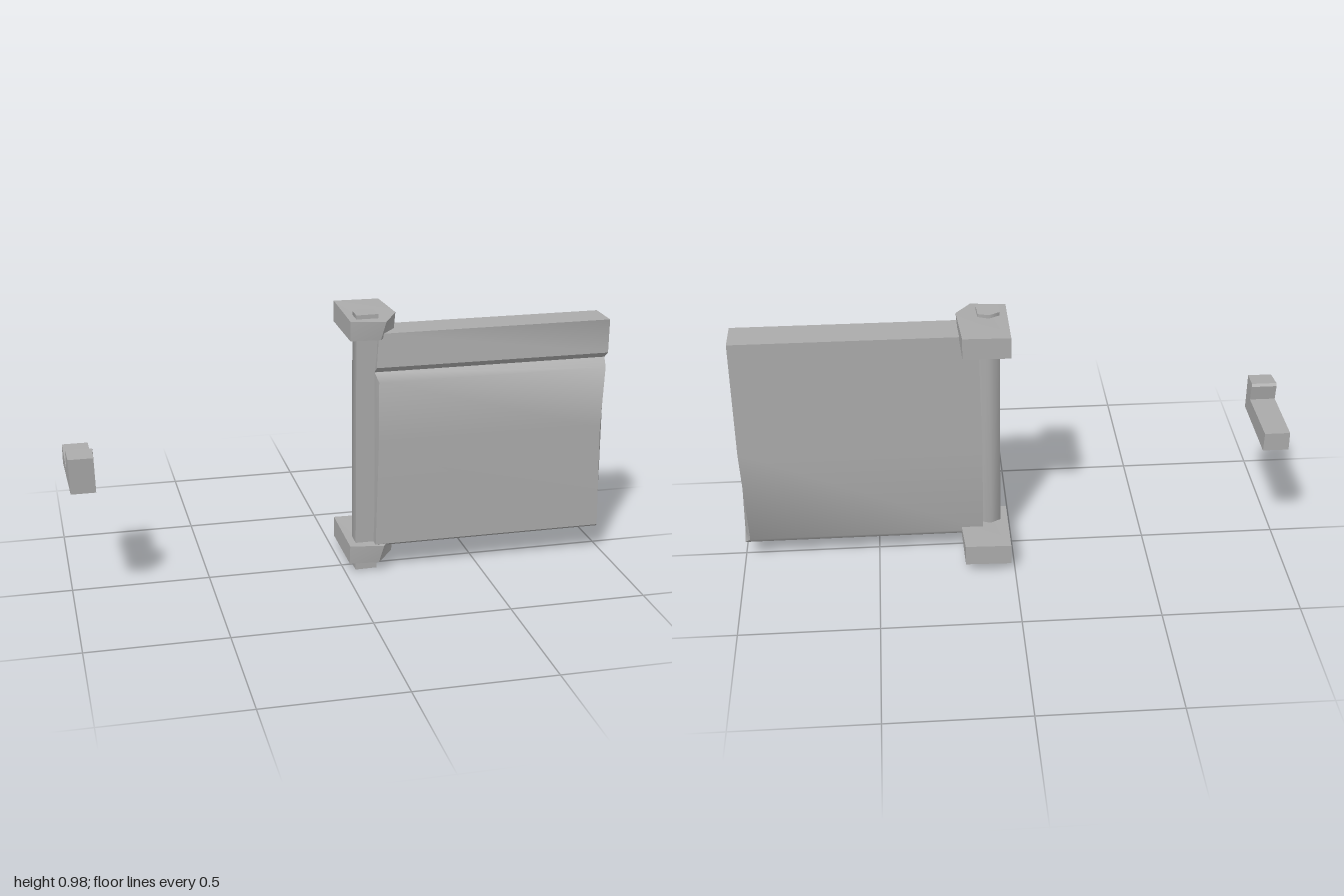
import * as THREE from 'three';
import { toCreasedNormals } from 'three/addons/utils/BufferGeometryUtils.js';

// Solid between two matching 3D loops; outline2D is counter-clockwise seen from the far side.
function solid(outline2D, near, far, crease) {
  const n = near.length, index = [];
  const caps = THREE.ShapeUtils.triangulateShape(outline2D.map(p => new THREE.Vector2(...p)), []);
  for (const [a, b, c] of caps) index.push(c, b, a, a + n, b + n, c + n);
  for (let i = 0; i < n; i++) {
    const j = (i + 1) % n;
    index.push(i, j, j + n, i, j + n, i + n);
  }
  const g = new THREE.BufferGeometry();
  g.setAttribute('position', new THREE.Float32BufferAttribute([...near, ...far].flat(), 3));
  g.setIndex(index);
  return toCreasedNormals(g, crease);
}

// Profile points [y, z, xRight, xLeft] joined along x
const alongX = (pts, crease) => solid(
  pts.map(p => [p[0], p[1]]),
  pts.map(([y, z, x]) => [x, y, z]),
  pts.map(([y, z, , x]) => [x, y, z]), crease);

// Footprint points [x, z, yBottom, yTop, bottom inset factor] joined along y
const alongY = (pts, crease) => solid(
  pts.map(p => [p[1], p[0]]),
  pts.map(([x, z, y, , k = 1]) => [x * k, y, z * k]),
  pts.map(([x, z, , y]) => [x, y, z]), crease);

export function createModel() {
  const group = new THREE.Group();
  const stone = new THREE.MeshStandardMaterial({ color: 0xaaaaaa });
  stone.name = 'plain grey';
  const add = (name, geometry) => {
    const mesh = new THREE.Mesh(geometry, stone);
    mesh.name = name;
    group.add(mesh);
    return mesh;
  };

  // Door panel with a groove near the top and worn edges
  add('panel', alongX([
    [0.905, -0.06, 0.12, 0.99],
    [0.905, 0.072, 0.12, 0.99],
    [0.79, 0.082, 0.11, 0.985],
    [0.765, 0.05, 0.11, 0.985],
    [0.735, 0.08, 0.12, 0.98],
    [0.5, 0.083, 0.12, 0.97],
    [0.11, 0.087, 0.11, 0.978],
    [0.08, 0.03, 0.11, 1],
    [0.08, -0.045, 0.11, 0.995],
    [0.1, -0.06, 0.11, 0.975],
    [0.47, -0.06, 0.11, 0.99],
  ].map(([y, z, a, b]) => [y > 0.9 ? y + (b - 0.98) * 0.8 : y, z, a, b]), 0.87));

  // Hinge post
  add('hingePost', alongY([
    [0.042, -0.01, 0, 0.98],
    [0.042, 0.053, 0, 0.98],
    [0.123, 0.05, 0, 0.98],
    [0.12, -0.02, 0, 0.98],
    [0.08, -0.032, 0, 0.98],
  ], 1.1));

  // Two matching brackets holding the post
  const bracket = alongY([
    [0.015, -0.195, 0.037, 0.115],
    [0.015, 0.08, 0.037, 0.108, 0.97],
    [0.14, 0.098, 0.037, 0.106, 0.88],
    [0.195, 0.01, 0.047, 0.115, 0.97],
    [0.182, -0.19, 0.037, 0.115],
  ], 0.3);
  add('lowerBracket', bracket);
  add('upperBracket', bracket).position.y = 0.857;

  // Separate latch hook
  add('latchHook', alongX([
    [0.575, 0.196, -0.997, -0.91],
    [0.445, 0.186, -0.993, -0.906],
    [0.445, -0.135, -1, -0.906],
    [0.515, -0.135, -1, -0.908],
    [0.513, 0.12, -1, -0.906],
    [0.572, 0.11, -1, -0.906],
    [0.582, 0.116, -1, -0.908],
  ], 0.3));

  return group;
}
